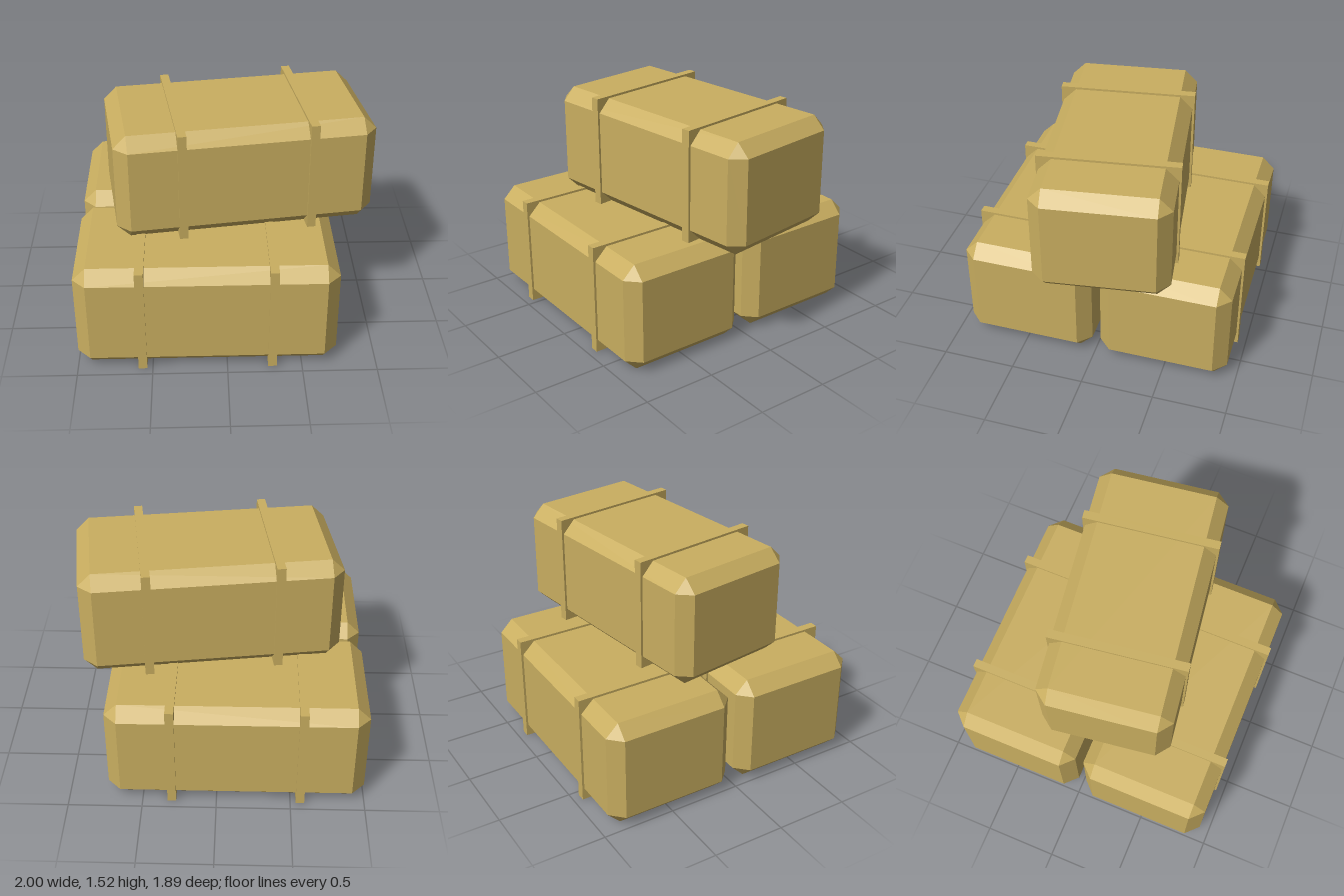
import * as THREE from 'three';
import { ConvexGeometry } from 'three/addons/geometries/ConvexGeometry.js';

const W = 1.737, H = 0.755, D = 0.9, CHAMFER = 0.087;

// Box with every edge and corner cut flat, standing on y = 0
function chamferedBox(w, h, d, c) {
  const points = [];
  for (const sx of [-1, 1]) for (const sy of [-1, 1]) for (const sz of [-1, 1]) {
    for (let axis = 0; axis < 3; axis++) {
      const inset = [c, c, c];
      inset[axis] = 0;
      points.push(new THREE.Vector3(
        sx * (w / 2 - inset[0]),
        sy * (h / 2 - inset[1]),
        sz * (d / 2 - inset[2])));
    }
  }
  return new ConvexGeometry(points).translate(0, h / 2, 0);
}

export function createModel() {
  const straw = new THREE.MeshStandardMaterial({ color: 0xc9ae60 });
  straw.name = 'straw';

  const baleGeometry = chamferedBox(W, H, D, CHAMFER);
  // Strap stands slightly proud of the bale's top and sides
  const strapGeometry = new THREE.BoxGeometry(0.058, 0.768, 0.93).translate(0, 0.386, 0);

  function makeBale(name, x, y, z, turn) {
    const group = new THREE.Group();
    group.name = name;
    const body = new THREE.Mesh(baleGeometry, straw);
    body.name = 'baleBody';
    group.add(body);
    for (const side of [-1, 1]) {
      const strap = new THREE.Mesh(strapGeometry, straw);
      strap.name = side < 0 ? 'rightStrap' : 'leftStrap';
      strap.position.x = side * 0.434;
      group.add(strap);
    }
    group.position.set(x, y, z);
    group.rotation.y = turn;
    return group;
  }

  const model = new THREE.Group();
  model.name = 'baleStack';
  model.add(
    makeBale('frontBale', -0.132, 0, 0.48, 0),
    makeBale('backBale', -0.132, 0, -0.48, 0),
    makeBale('topBale', 0.089, H, 0, 0.14));
  return model;
}
